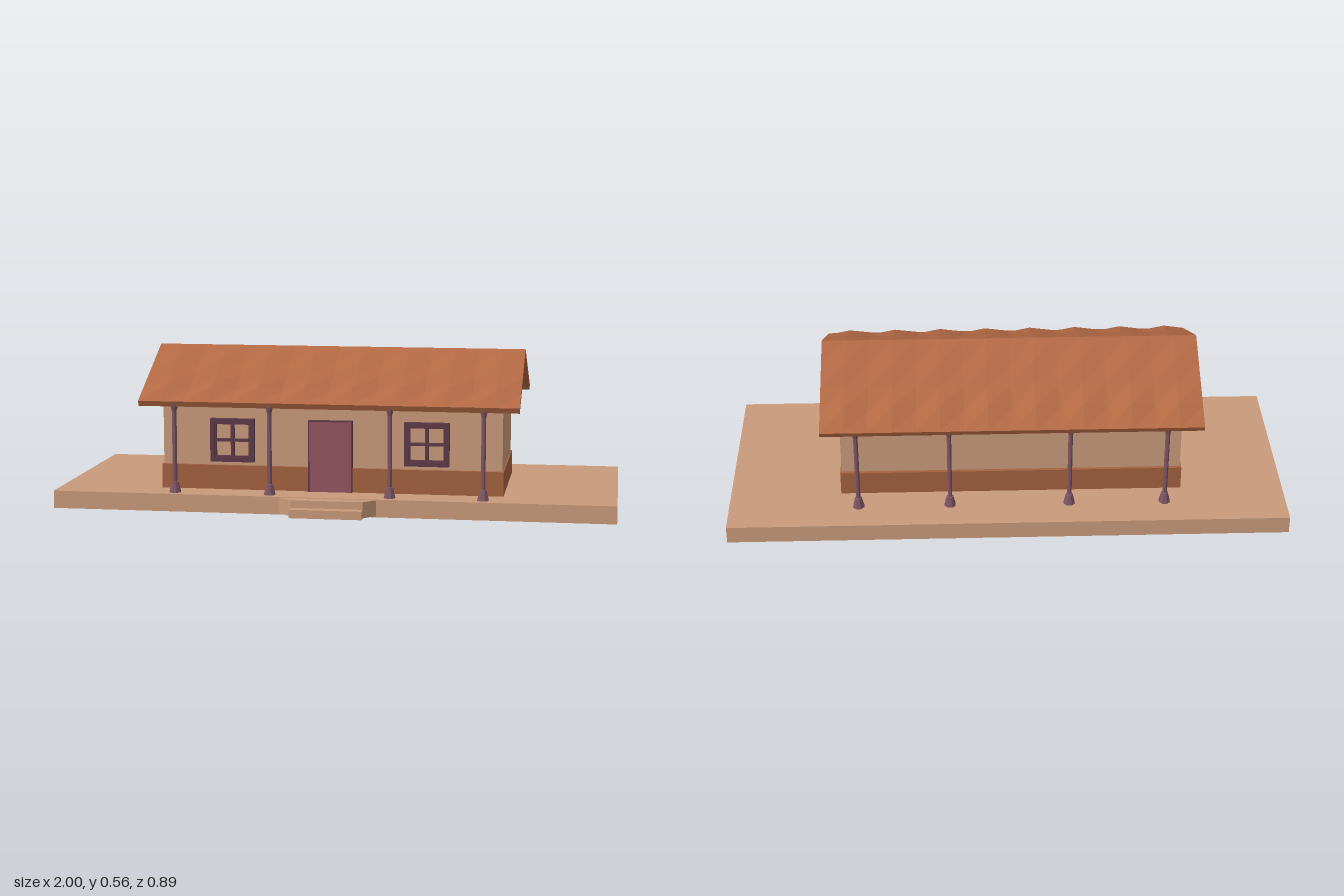
import * as THREE from 'three';

const mat = (name, color, extra = {}) => {
  const m = new THREE.MeshStandardMaterial({ color, ...extra });
  m.name = name;
  return m;
};

export function createModel() {
  const plaster = mat('plaster', 0xc99b7b);
  const clay = mat('clay', 0xa5623f);
  const tile = mat('roofTile', 0xb36944, { flatShading: true });
  const post = mat('postWood', 0x7d5564, { flatShading: true });
  const doorWood = mat('doorWood', 0x94545f);
  const frameWood = mat('frameWood', 0x5e3a48);

  const model = new THREE.Group();
  model.name = 'house';
  const add = (name, geo, material, parent = model) => {
    const mesh = new THREE.Mesh(geo, material);
    mesh.name = name;
    parent.add(mesh);
    return mesh;
  };
  // Box given by its limits on each axis
  const box = (name, material, x0, x1, y0, y1, z0, z1, parent) => {
    const g = new THREE.BoxGeometry(x1 - x0, y1 - y0, z1 - z0);
    g.translate((x0 + x1) / 2, (y0 + y1) / 2, (z0 + z1) / 2);
    return add(name, g, material, parent);
  };
  const polygon = (pts) => new THREE.Shape(pts.map(([x, y]) => new THREE.Vector2(x, y)));
  const rect = (x0, x1, y0, y1) => [[x0, y0], [x1, y0], [x1, y1], [x0, y1]];
  // Plan outline (x, -z) raised to a slab between y0 and y1
  const slab = (shape, y0, y1) => {
    const g = new THREE.ExtrudeGeometry(shape, { depth: y1 - y0, bevelEnabled: false });
    return g.rotateX(-Math.PI / 2).translate(0, y0, 0);
  };

  // Platform, open beneath the house
  const plan = polygon(rect(-1, 1, -0.368, 0.447));
  plan.holes.push(polygon(rect(-0.62, 0.59, -0.235, 0.235)));
  add('platform', slab(plan, 0, 0.063), plaster);

  // Entrance steps
  const upper = polygon([[-0.18, -0.368], [-0.13, -0.412], [0.125, -0.412], [0.165, -0.368]]);
  add('upperStep', slab(upper, 0.004, 0.061), plaster);
  box('lowerStep', plaster, -0.13, 0.125, 0.004, 0.034, 0.41, 0.447);

  // Plinth and gabled walls
  box('plinth', clay, -0.63, 0.602, 0.03, 0.15, -0.247, 0.247);
  const gable = polygon([[-0.235, 0.14], [0.235, 0.14], [0.235, 0.425], [0, 0.54], [-0.235, 0.425]]);
  const walls = new THREE.ExtrudeGeometry(gable, { depth: 1.222, bevelEnabled: false });
  walls.rotateY(Math.PI / 2).translate(-0.625, 0, 0);
  add('walls', walls, plaster);

  // Door
  box('door', doorWood, -0.09, 0.06, 0.063, 0.316, 0.23, 0.254);
  box('doorFrameTop', frameWood, -0.094, 0.064, 0.316, 0.32, 0.23, 0.256);
  for (const x of [-0.094, 0.06]) box('doorFrameSide', frameWood, x, x + 0.004, 0.063, 0.316, 0.23, 0.256);

  // Windows: frame, inner sash and glazing bars
  for (const x of [-0.37, 0.33]) {
    const win = new THREE.Group();
    win.name = 'window';
    win.position.set(x, 0.242, 0.23);
    model.add(win);
    const ring = (name, w, h, t, depth) => {
      const s = polygon(rect(-w, w, -h, h));
      s.holes.push(polygon(rect(t - w, w - t, t - h, h - t)));
      add(name, new THREE.ExtrudeGeometry(s, { depth, bevelEnabled: false }), frameWood, win);
    };
    ring('windowFrame', 0.08, 0.078, 0.015, 0.026);
    ring('windowSash', 0.066, 0.064, 0.007, 0.018);
    box('verticalBar', frameWood, -0.006, 0.006, -0.064, 0.064, 0, 0.02, win);
    box('horizontalBar', frameWood, -0.066, 0.066, -0.005, 0.005, 0, 0.019, win);
  }

  // Veranda posts with flared feet and heads
  const profile = [[0.0215, 0.063], [0.0125, 0.1], [0.0085, 0.102], [0.0085, 0.355], [0.0135, 0.375], [0.0135, 0.388]];
  const postGeo = new THREE.LatheGeometry(profile.map(([r, y]) => new THREE.Vector2(r, y)), 8);
  postGeo.rotateY(Math.PI / 8);
  for (const z of [0.328, -0.328])
    for (const x of [-0.563, -0.22, 0.208, 0.536])
      add('post', postGeo, post).position.set(x, 0, z);

  add('roof', roofGeometry(), tile);
  return model;
}

// Gabled roof with staggered tile humps, lofted along x
function roofGeometry() {
  const zs = [0.345, 0.27, 0.18, 0.1, 0, -0.1, -0.18, -0.27, -0.349];
  const hump = [0, 0.018, 0.002, 0.012, 0, 0.012, 0.002, 0.018, 0];
  const n = zs.length, segments = 16;
  const section = (i) => {
    const x = -0.69 + (1.35 * i) / segments;
    const top = zs.map((z, j) => [x, 0.56 - Math.abs(z) * 0.49 + hump[j] * (i % 2), z]);
    const under = zs.map((z) => [x, 0.541 - Math.abs(z) * 0.49, z * 0.975]);
    return [...top, ...under.reverse()];
  };
  const pos = [];
  const quad = (a, b, c, d) => pos.push(...a, ...b, ...c, ...a, ...c, ...d);
  const rings = Array.from({ length: segments + 1 }, (_, i) => section(i));
  for (let i = 0; i < segments; i++)
    for (let j = 0; j < 2 * n; j++) {
      const k = (j + 1) % (2 * n);
      quad(rings[i][j], rings[i + 1][j], rings[i + 1][k], rings[i][k]);
    }
  // Gable end caps
  const first = rings[0], last = rings[segments];
  for (let j = 0; j < n - 1; j++) {
    const u = 2 * n - 1 - j;
    quad(first[j], first[j + 1], first[u - 1], first[u]);
    quad(last[j], last[u], last[u - 1], last[j + 1]);
  }
  const g = new THREE.BufferGeometry();
  g.setAttribute('position', new THREE.Float32BufferAttribute(pos, 3));
  g.computeVertexNormals();
  return g;
}
